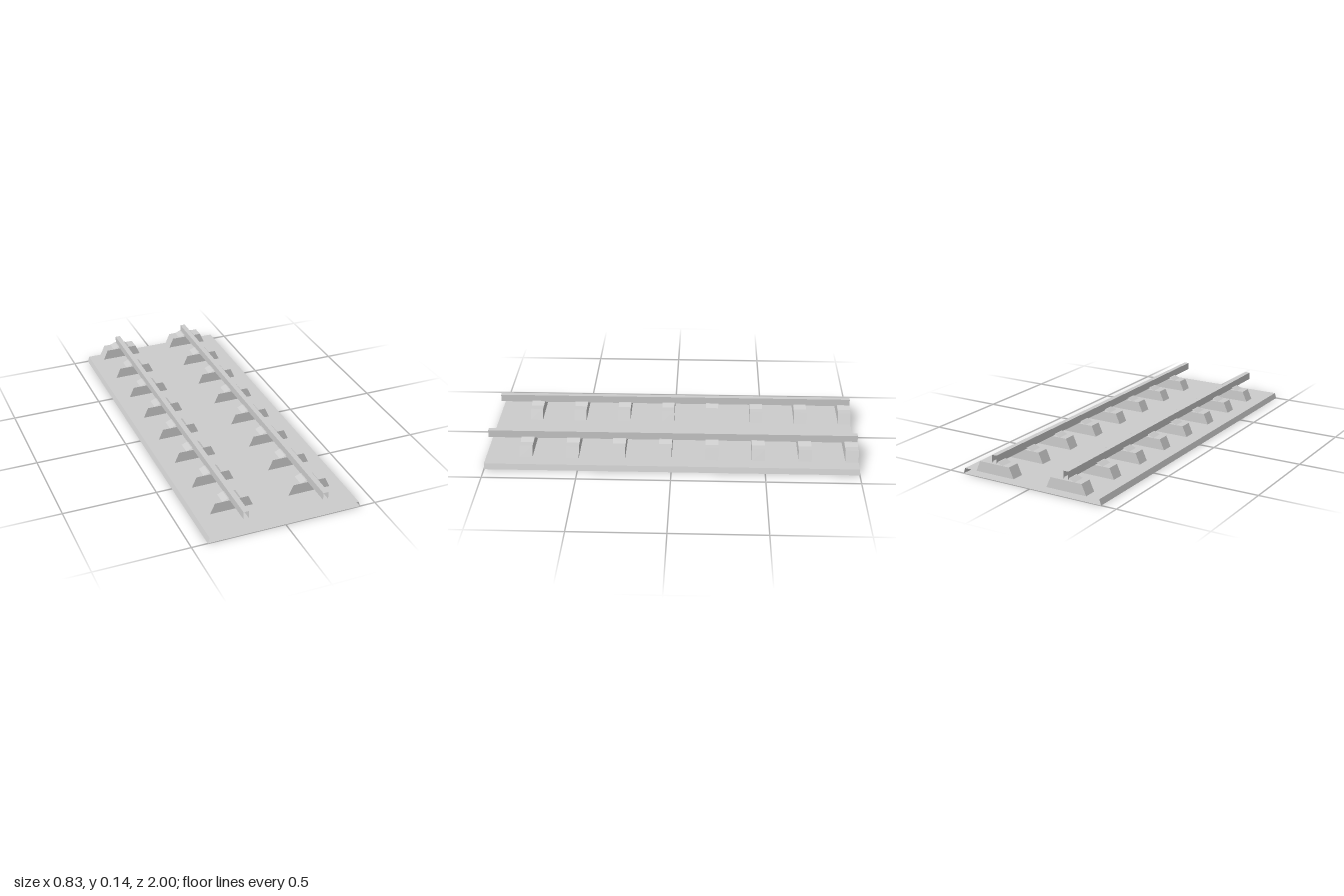
import * as THREE from 'three';

const solid = new THREE.MeshStandardMaterial({ color: 0xcccccc, flatShading: true });
const sheet = new THREE.MeshStandardMaterial({ color: 0xcccccc, flatShading: true, side: THREE.DoubleSide });

// Open-ended sheet: sweeps a profile of [x, y] points (running left to right over the top) from z0 to z1
function sweep(name, profile, z0, z1) {
  const pos = [];
  for (let i = 0; i < profile.length - 1; i++) {
    const [ax, ay] = profile[i], [bx, by] = profile[i + 1];
    pos.push(ax, ay, z1, bx, by, z1, bx, by, z0, ax, ay, z1, bx, by, z0, ax, ay, z0);
  }
  const geo = new THREE.BufferGeometry();
  geo.setAttribute('position', new THREE.Float32BufferAttribute(pos, 3));
  geo.computeVertexNormals();
  const mesh = new THREE.Mesh(geo, sheet);
  mesh.name = name;
  return mesh;
}

export function createModel() {
  const model = new THREE.Group();
  model.name = 'railTrack';

  // Track bed with sloping long sides and open ends
  model.add(sweep('trackBed', [[-0.415, 0], [-0.405, 0.03], [0.405, 0.03], [0.415, 0], [-0.415, 0]], -1, 1));

  // Sleeper block, a trapezoid across the track
  const depth = 0.07;
  const outline = new THREE.Shape([[-0.116, 0.03], [0.116, 0.03], [0.09, 0.087], [-0.09, 0.087]]
    .map(([x, y]) => new THREE.Vector2(x, y)));
  const blockGeo = new THREE.ExtrudeGeometry(outline, { depth, bevelEnabled: false });
  blockGeo.translate(0, 0, -depth / 2);

  for (const side of [-1, 1]) {
    const line = new THREE.Group();
    line.name = side > 0 ? 'leftRailLine' : 'rightRailLine';
    line.position.x = side * 0.215;

    // Rail: an inverted channel, open at the ends and below
    line.add(sweep('rail', [[-0.014, 0.094], [-0.014, 0.135], [0.014, 0.135], [0.014, 0.094]], -1, 1));

    for (let i = 0; i < 8; i++) {
      const sleeper = new THREE.Group();
      sleeper.name = 'sleeper';
      sleeper.position.z = 0.785 - 0.25 * i;
      const block = new THREE.Mesh(blockGeo, solid);
      block.name = 'sleeperBlock';
      // Raised saddle under the rail
      const saddle = sweep('railSaddle', [[-0.05, 0.087], [-0.02, 0.1], [0.02, 0.1], [0.05, 0.087]], -depth / 2, depth / 2);
      sleeper.add(block, saddle);
      line.add(sleeper);
    }
    model.add(line);
  }
  return model;
}
